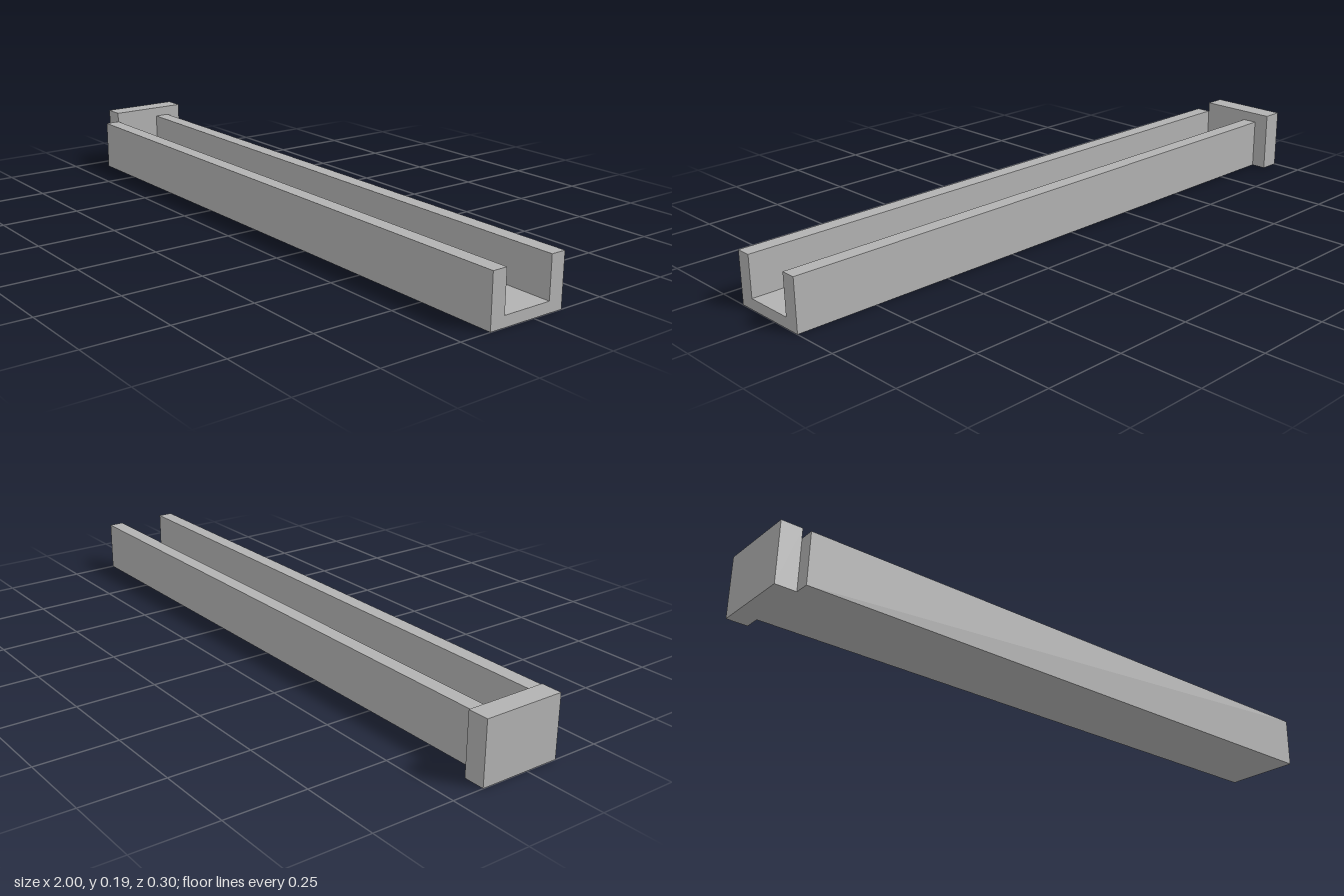
import * as THREE from 'three';

export function createModel() {
  const group = new THREE.Group();
  const grey = new THREE.MeshStandardMaterial({ color: 0xb2b2b2 });
  grey.name = 'grey';

  // U-shaped channel: cross-section as [z, y], swept along x
  const left = -0.935, right = 1;
  const profile = [
    [0.151, 0], [-0.102, 0], [-0.102, 0.159], [-0.055, 0.159],
    [-0.055, 0.033], [0.104, 0.033], [0.104, 0.159], [0.151, 0.159],
  ];
  const shape = new THREE.Shape(profile.map(([z, y]) => new THREE.Vector2(-z, y)));
  const channelGeometry = new THREE.ExtrudeGeometry(shape, { depth: right - left, bevelEnabled: false });
  channelGeometry.rotateY(Math.PI / 2).translate(left, 0, 0);
  const channel = new THREE.Mesh(channelGeometry, grey);
  channel.name = 'channel';
  group.add(channel);

  // Taller end block, offset towards the back
  const endBlock = new THREE.Mesh(new THREE.BoxGeometry(0.065, 0.19, 0.255), grey);
  endBlock.position.set(-0.9675, 0.095, -0.0235);
  endBlock.name = 'endBlock';
  group.add(endBlock);

  return group;
}
